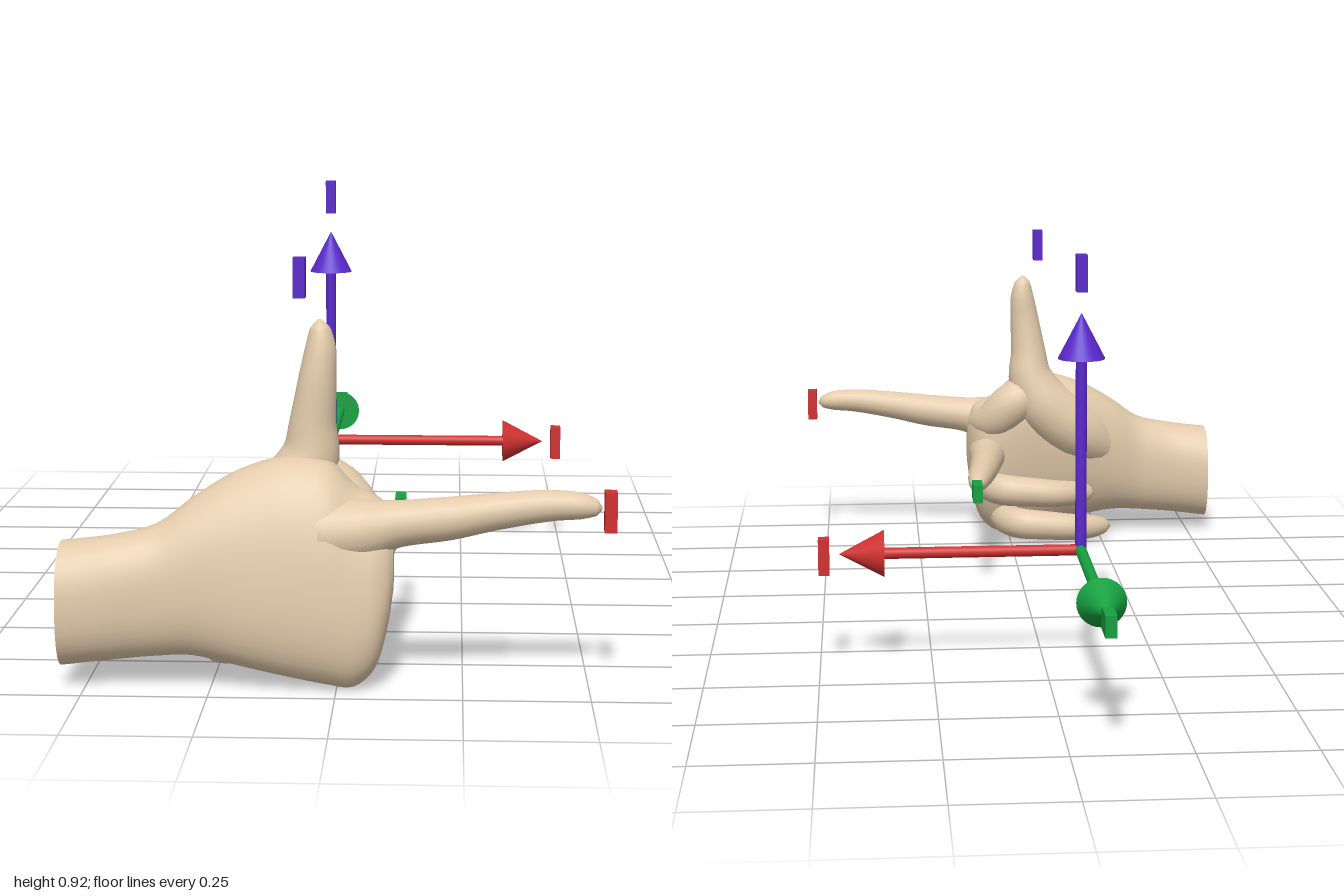
import * as THREE from 'three';

const V = (x, y, z) => new THREE.Vector3(x, y, z);
const paint = (color) => new THREE.MeshStandardMaterial({ color });
const SKIN = paint(0xe3cbab);
const RED = paint(0xd03030), GREEN = paint(0x16a040), VIOLET = paint(0x5a28cc);

function addMesh(parent, name, geometry, material) {
  const mesh = new THREE.Mesh(geometry, material);
  mesh.name = name;
  parent.add(mesh);
  return mesh;
}

// Skin over a list of rings, closed by flat caps with their own vertices
function loft(rings) {
  const n = rings[0].length, pos = [], idx = [];
  rings.forEach((r) => r.forEach((p) => pos.push(p.x, p.y, p.z)));
  for (let i = 0; i < rings.length - 1; i++) {
    for (let j = 0; j < n; j++) {
      const a = i * n + j, a1 = i * n + (j + 1) % n;
      idx.push(a, a1, a1 + n, a, a1 + n, a + n);
    }
  }
  [rings[0], rings[rings.length - 1]].forEach((ring, end) => {
    const base = pos.length / 3, c = V(0, 0, 0);
    ring.forEach((p) => { pos.push(p.x, p.y, p.z); c.addScaledVector(p, 1 / n); });
    pos.push(c.x, c.y, c.z);
    for (let j = 0; j < n; j++) {
      const a = base + j, b = base + (j + 1) % n;
      if (end) idx.push(base + n, a, b); else idx.push(base + n, b, a);
    }
  });
  const g = new THREE.BufferGeometry();
  g.setAttribute('position', new THREE.Float32BufferAttribute(pos, 3));
  g.setIndex(idx);
  g.computeVertexNormals();
  return g;
}

// Finger: rows of [x, y, z, radius]; flat squashes it across the up direction
function finger(rows, up, flat = 1) {
  const path = new THREE.CatmullRomCurve3(rows.map((r) => V(r[0], r[1], r[2])), false, 'centripetal');
  const radii = new THREE.CatmullRomCurve3(rows.map((r, i) => V(i, r[3], 0)));
  const steps = (rows.length - 1) * 6, rings = [];
  for (let i = 0; i <= steps; i++) {
    const t = i / steps, c = path.getPoint(t), dir = path.getTangent(t);
    const r = Math.max(0.003, radii.getPoint(t).y);
    const side = up.clone().cross(dir).normalize(), top = dir.clone().cross(side);
    rings.push(Array.from({ length: 20 }, (_, j) => {
      const a = j / 20 * Math.PI * 2;
      return c.clone().addScaledVector(side, r * flat * Math.cos(a)).addScaledVector(top, r * Math.sin(a));
    }));
  }
  return loft(rings);
}

// Wrist and palm: rows of [x, bottom, top, palm side z, back side z]
function palm(rows) {
  const low = new THREE.CatmullRomCurve3(rows.map((r) => V(r[0], r[1], r[2])), false, 'centripetal');
  const deep = rows.map((r) => [r[3], r[4]]);
  const steps = (rows.length - 1) * 4, rings = [];
  for (let i = 0; i <= steps; i++) {
    const p = low.getPoint(i / steps);
    const f = i / 4, k = Math.min(Math.floor(f), rows.length - 2), w = f - k;
    const z0 = THREE.MathUtils.lerp(deep[k][0], deep[k + 1][0], w);
    const z1 = THREE.MathUtils.lerp(deep[k][1], deep[k + 1][1], w);
    const lean = 0.14 * THREE.MathUtils.smoothstep(p.x, -0.45, -0.15);
    rings.push(Array.from({ length: 36 }, (_, j) => {
      const a = j / 36 * Math.PI * 2;
      const c = Math.cos(a), s = Math.sin(a);
      const dy = (p.z - p.y) / 2 * Math.sign(c) * Math.abs(c) ** 0.88;
      const dz = (z1 - z0) / 2 * Math.sign(s) * Math.abs(s) ** 0.88;
      return V(p.x, (p.y + p.z) / 2 + dy, (z0 + z1) / 2 + dz - lean * dy);
    }));
  }
  return loft(rings);
}

function createHand() {
  const hand = new THREE.Group();
  hand.name = 'hand';
  const Y = V(0, 1, 0), Z = V(0, 0, 1);
  addMesh(hand, 'palmAndWrist', palm([
    [-0.55, 0.04, 0.29, 0.81, 0.99],
    [-0.45, 0.052, 0.303, 0.82, 0.985],
    [-0.36, 0.06, 0.325, 0.815, 0.975],
    [-0.29, 0.062, 0.375, 0.795, 0.975],
    [-0.2, 0.045, 0.428, 0.78, 0.98],
    [-0.1, 0.025, 0.457, 0.78, 0.985],
    [-0.02, 0.01, 0.45, 0.78, 0.985],
    [0.035, 0.005, 0.4, 0.785, 0.98],
    [0.075, 0.04, 0.38, 0.8, 0.97],
    [0.1, 0.12, 0.36, 0.83, 0.95],
    [0.112, 0.2, 0.33, 0.86, 0.93]]), SKIN);
  addMesh(hand, 'thumb', finger([
    [-0.3, 0.22, 0.86, 0.04], [-0.2, 0.29, 0.83, 0.078], [-0.1, 0.37, 0.815, 0.078],
    [-0.058, 0.45, 0.815, 0.06], [-0.052, 0.52, 0.82, 0.047], [-0.042, 0.61, 0.825, 0.038],
    [-0.036, 0.67, 0.823, 0.031], [-0.037, 0.71, 0.822, 0.02], [-0.038, 0.727, 0.821, 0.003]], Z), SKIN);
  addMesh(hand, 'thumbWeb', finger([
    [-0.07, 0.42, 0.82, 0.05], [-0.01, 0.38, 0.805, 0.058], [0.04, 0.33, 0.83, 0.055],
    [0.08, 0.32, 0.88, 0.04]], Y), SKIN);
  addMesh(hand, 'indexFinger', finger([
    [-0.03, 0.31, 0.9, 0.07], [0.05, 0.32, 0.905, 0.062], [0.12, 0.333, 0.907, 0.047],
    [0.22, 0.345, 0.91, 0.043], [0.31, 0.36, 0.912, 0.037], [0.42, 0.374, 0.915, 0.031],
    [0.48, 0.374, 0.918, 0.026], [0.51, 0.371, 0.92, 0.016], [0.52, 0.37, 0.92, 0.003]], Y), SKIN);
  addMesh(hand, 'middleFinger', finger([
    [0.03, 0.24, 0.93, 0.05], [0.052, 0.24, 0.88, 0.054], [0.06, 0.238, 0.8, 0.048],
    [0.068, 0.238, 0.72, 0.042], [0.08, 0.242, 0.61, 0.038], [0.096, 0.243, 0.5, 0.032],
    [0.105, 0.242, 0.44, 0.025], [0.11, 0.241, 0.408, 0.015], [0.111, 0.241, 0.396, 0.003]], Y), SKIN);
  // Curled fingers share one rule: knuckle, bend, then back along the palm
  [['ringFinger', 0.148, 0, 0.042], ['littleFinger', 0.054, -0.045, 0.041]].forEach(([name, y, dx, r]) => {
    addMesh(hand, name, finger([
      [0.02 + dx, y, 0.92, r], [0.05 + dx, y, 0.87, r * 1.08], [0.045 + dx, y, 0.8, r],
      [0.015 + dx, y, 0.76, r], [-0.05 + dx, y - 0.004, 0.75, r * 0.95], [-0.12 + dx, y - 0.01, 0.752, r * 0.88],
      [-0.175 + dx, y - 0.015, 0.775, r * 0.78], [-0.215 + dx, y - 0.018, 0.795, r * 0.5],
      [-0.232 + dx, y - 0.02, 0.802, 0.003]], Y), SKIN);
  });
  return hand;
}

// Arrow along +y from the local origin
function arrow(name, length, material) {
  const g = new THREE.Group();
  g.name = name;
  addMesh(g, 'shaft', new THREE.CylinderGeometry(0.0125, 0.0125, length - 0.1, 24), material)
    .position.y = (length - 0.1) / 2;
  addMesh(g, 'arrowhead', new THREE.ConeGeometry(0.052, 0.1, 32), material).position.y = length - 0.05;
  return g;
}

// Plain thin tab marking the end of an axis or finger
function tab(parent, name, size, at, material) {
  addMesh(parent, name, new THREE.BoxGeometry(...size), material).position.set(...at);
}

export function createModel() {
  const model = new THREE.Group();
  model.name = 'handWithAxes';
  model.add(createHand());

  // Three arrows meeting at one corner
  const axes = new THREE.Group();
  axes.name = 'axes';
  axes.position.set(-0.08, 0.265, -0.38);
  const red = arrow('redArrow', 0.535, RED);
  red.rotation.z = -Math.PI / 2;
  const green = arrow('greenArrow', 0.54, GREEN);
  green.rotation.x = -Math.PI / 2;
  axes.add(red, green, arrow('violetArrow', 0.53, VIOLET));
  addMesh(axes, 'axisJoint', new THREE.SphereGeometry(0.0135, 20, 14), VIOLET);
  model.add(axes);

  // Tabs beyond the arrow tips and fingertips
  tab(model, 'redArrowTab', [0.024, 0.08, 0.035], [0.488, 0.262, -0.385], RED);
  tab(model, 'greenArrowTab', [0.024, 0.045, 0.07], [-0.08, 0.265, -0.965], GREEN);
  tab(model, 'violetArrowTab', [0.024, 0.08, 0.035], [-0.08, 0.882, -0.378], VIOLET);
  tab(model, 'indexFingerTab', [0.024, 0.08, 0.035], [0.537, 0.364, 0.92], RED);
  tab(model, 'middleFingerTab', [0.024, 0.045, 0.07], [0.113, 0.245, 0.315], GREEN);
  tab(model, 'thumbTab', [0.024, 0.08, 0.035], [-0.078, 0.81, 0.823], VIOLET);
  return model;
}
